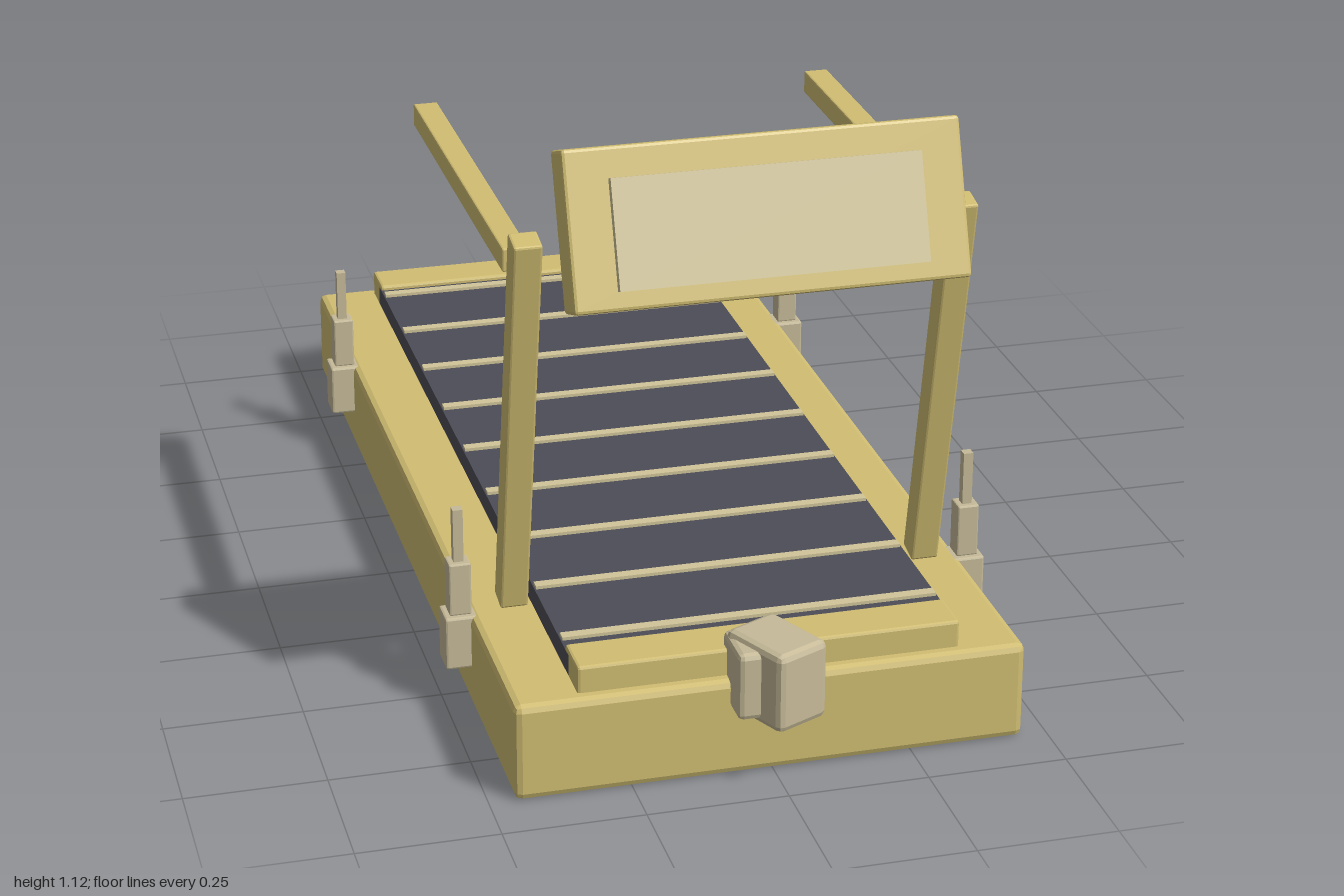
import * as THREE from 'three';
import { RoundedBoxGeometry } from 'three/addons/geometries/RoundedBoxGeometry.js';

export function createModel() {
  const mat = (name, color) => {
    const m = new THREE.MeshStandardMaterial({ color });
    m.name = name;
    return m;
  };
  const yellow = mat('yellowFrame', 0xd0bd72);
  const pale = mat('palePanel', 0xd0c498);
  const steel = mat('beigeSteel', 0xc6ba98);
  const dark = mat('darkBelt', 0x4d4d57);

  const model = new THREE.Group();
  model.name = 'treadmill';

  // Box with a faceted chamfer, or plain when bevel is 0
  function box(name, material, size, pos, bevel = 0, parent = model) {
    const [w, h, d] = size;
    let geo;
    if (bevel > 0) {
      geo = new RoundedBoxGeometry(w, h, d, 1, bevel);
      geo.computeVertexNormals();
    } else {
      geo = new THREE.BoxGeometry(w, h, d);
    }
    const mesh = new THREE.Mesh(geo, material);
    mesh.name = name;
    mesh.position.set(...pos);
    parent.add(mesh);
    return mesh;
  }

  // Deck, belt and end covers
  box('base', yellow, [0.91, 0.18, 1.9], [0, 0.091, -0.045], 0.013);
  box('belt', dark, [0.68, 0.05, 1.72], [0, 0.195, -0.045]);
  box('frontCover', yellow, [0.68, 0.06, 0.09], [0, 0.2, 0.835], 0.005);
  box('backCover', yellow, [0.68, 0.06, 0.09], [0, 0.2, -0.925], 0.005);

  // Raised ribs across the belt
  for (let i = 0; i < 9; i++) {
    box('beltRib', pale, [0.675, 0.01, 0.02], [0, 0.221, -0.85 + i * 0.2]);
  }

  for (const side of [1, -1]) {
    // Leaning upright and handrail
    const post = box('upright', yellow, [0.05, 0.753, 0.05], [side * 0.38, 0.571, 0.624], 0.004);
    post.rotation.x = 0.2;
    box('handrail', yellow, [0.045, 0.043, 0.76], [side * 0.38, 0.874, 0.24], 0.003);

    // Stepped adjusters on the deck sides
    for (const z of [0.528, -0.616]) {
      const adjuster = new THREE.Group();
      adjuster.name = 'adjuster';
      adjuster.position.set(side * 0.471, 0, z);
      model.add(adjuster);
      box('adjusterBlock', steel, [0.06, 0.1, 0.06], [0, 0.13, 0], 0.004, adjuster);
      box('adjusterSleeve', steel, [0.04, 0.1, 0.04], [0, 0.23, 0], 0.003, adjuster);
      box('adjusterPin', steel, [0.018, 0.1, 0.018], [0, 0.33, 0], 0, adjuster);
    }
  }

  // Tilted console with its raised screen
  const console_ = new THREE.Group();
  console_.name = 'console';
  console_.position.set(0, 0.985, 0.797);
  console_.rotation.x = -0.35;
  model.add(console_);
  box('consoleBody', yellow, [0.68, 0.27, 0.08], [0, 0, 0], 0.006, console_);
  box('screen', pale, [0.53, 0.185, 0.03], [0, -0.01, 0.041], 0, console_);

  // Turned motor housing with a side cap
  const motor = box('motorHousing', steel, [0.108, 0.146, 0.144], [0, 0.192, 0.912], 0.012);
  motor.rotation.y = 0.44;
  box('motorCap', steel, [0.08, 0.125, 0.105], [-0.038, 0.192, 0.903], 0.01);

  return model;
}
